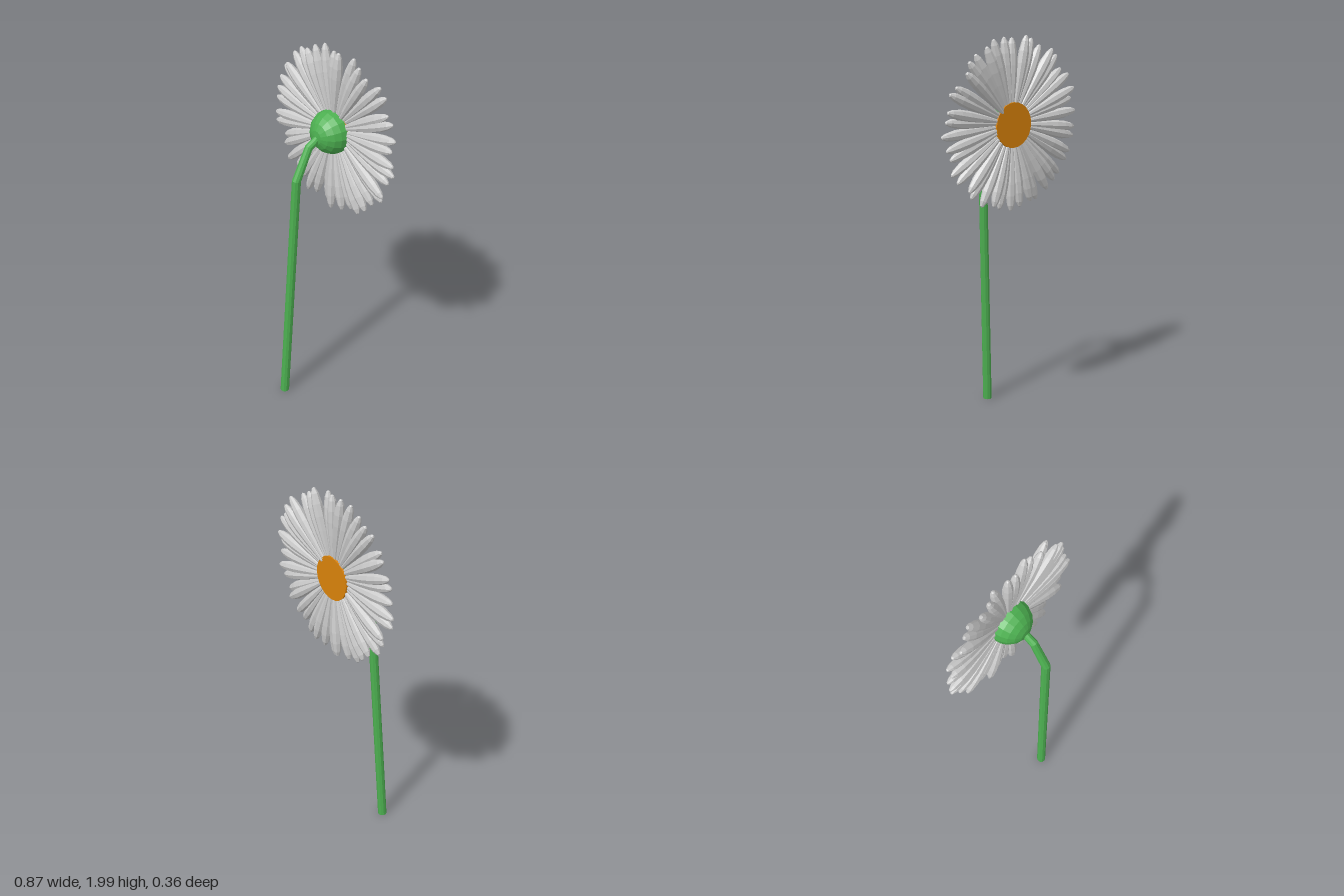
import * as THREE from 'three';

const material = (color) => new THREE.MeshStandardMaterial({ color, flatShading: true });
const green = material(0x4caf50);
const orange = material(0xd8820a);
const grey = material(0xcccccc);

const HEAD_Y = 1.56, HEAD_Z = -0.125;

function part(name, geometry, mat) {
  const mesh = new THREE.Mesh(geometry, mat);
  mesh.name = name;
  return mesh;
}

// Bent stalk: a ring of points at each bend, square to the mean direction
function stemGeometry() {
  const path = [[-0.07, 0, 0.153], [-0.003, 1.355, 0.109], [-0.001, 1.515, 0.03], [0, 1.56, -0.05]]
    .map((p) => new THREE.Vector3(...p));
  const radii = [0.024, 0.023, 0.021, 0.018];
  const sides = 10, positions = [], index = [];
  path.forEach((p, i) => {
    const tangent = new THREE.Vector3(0, 1, 0);
    if (i > 0) {
      tangent.copy(p).sub(path[i - 1]).normalize();
      if (i < path.length - 1) tangent.add(path[i + 1].clone().sub(p).normalize()).normalize();
    }
    const u = tangent.clone().cross(new THREE.Vector3(1, 0, 0)).normalize();
    const v = tangent.clone().cross(u);
    for (let j = 0; j < sides; j++) {
      const a = (j / sides) * Math.PI * 2;
      const q = p.clone().addScaledVector(u, radii[i] * Math.cos(a)).addScaledVector(v, radii[i] * Math.sin(a));
      positions.push(q.x, q.y, q.z);
    }
  });
  for (let i = 0; i < path.length - 1; i++) {
    for (let j = 0; j < sides; j++) {
      const a = i * sides + j, b = i * sides + ((j + 1) % sides);
      index.push(a, b, a + sides, b, b + sides, a + sides);
    }
  }
  // cut end at the ground
  for (let j = 1; j < sides - 1; j++) index.push(0, j + 1, j);
  const geometry = new THREE.BufferGeometry();
  geometry.setAttribute('position', new THREE.Float32BufferAttribute(positions, 3));
  geometry.setIndex(index);
  geometry.computeVertexNormals();
  return geometry;
}

// Plump petal along +y, widest beyond its middle
function petalGeometry() {
  const profile = [[0, 0.085], [0.009, 0.1], [0.016, 0.16], [0.023, 0.23], [0.0275, 0.3],
    [0.0265, 0.36], [0.019, 0.41], [0.009, 0.434], [0, 0.44]];
  return new THREE.LatheGeometry(profile.map(([r, y]) => new THREE.Vector2(r, y)), 8);
}

function createPetals() {
  const petals = new THREE.Group();
  petals.name = 'petals';
  petals.position.set(0, HEAD_Y, HEAD_Z);
  const geometry = petalGeometry();
  const count = 42;
  for (let i = 0; i < count; i++) {
    // clockwise turn from straight up, leaving a small gap on one side
    const angle = -1.5 + (i / count) * Math.PI * 2 * 0.995 + 0.025 * Math.sin(i * 2.7);
    const petal = part('petal', geometry, grey);
    const lift = -0.07 * Math.exp(-(((angle - 0.9) / 0.3) ** 2)) + 0.03 * Math.sin(i * 1.9);
    petal.rotation.set(lift, 0, -angle, 'ZXY');
    const length = i === 9 ? 1 : 0.985 + 0.025 * Math.sin(i * 4.3);
    petal.scale.set(1, length, 0.95);
    petals.add(petal);
  }
  return petals;
}

export function createModel() {
  const flower = new THREE.Group();
  flower.name = 'flower';

  flower.add(part('stem', stemGeometry(), green));

  // Green cup holding the petals, bulging toward the stem
  const cup = part('cup', new THREE.SphereGeometry(0.115, 16, 5, 0, Math.PI * 2, 0, Math.PI / 2).rotateX(Math.PI / 2), green);
  cup.position.set(0, HEAD_Y - 0.005, HEAD_Z);
  flower.add(cup);

  // Flat flower centre on the far side
  const centre = part('flowerCentre', new THREE.CylinderGeometry(0.115, 0.113, 0.014, 24).rotateX(Math.PI / 2), orange);
  centre.position.set(0, HEAD_Y - 0.005, HEAD_Z - 0.007);
  flower.add(centre);

  flower.add(createPetals());
  return flower;
}
